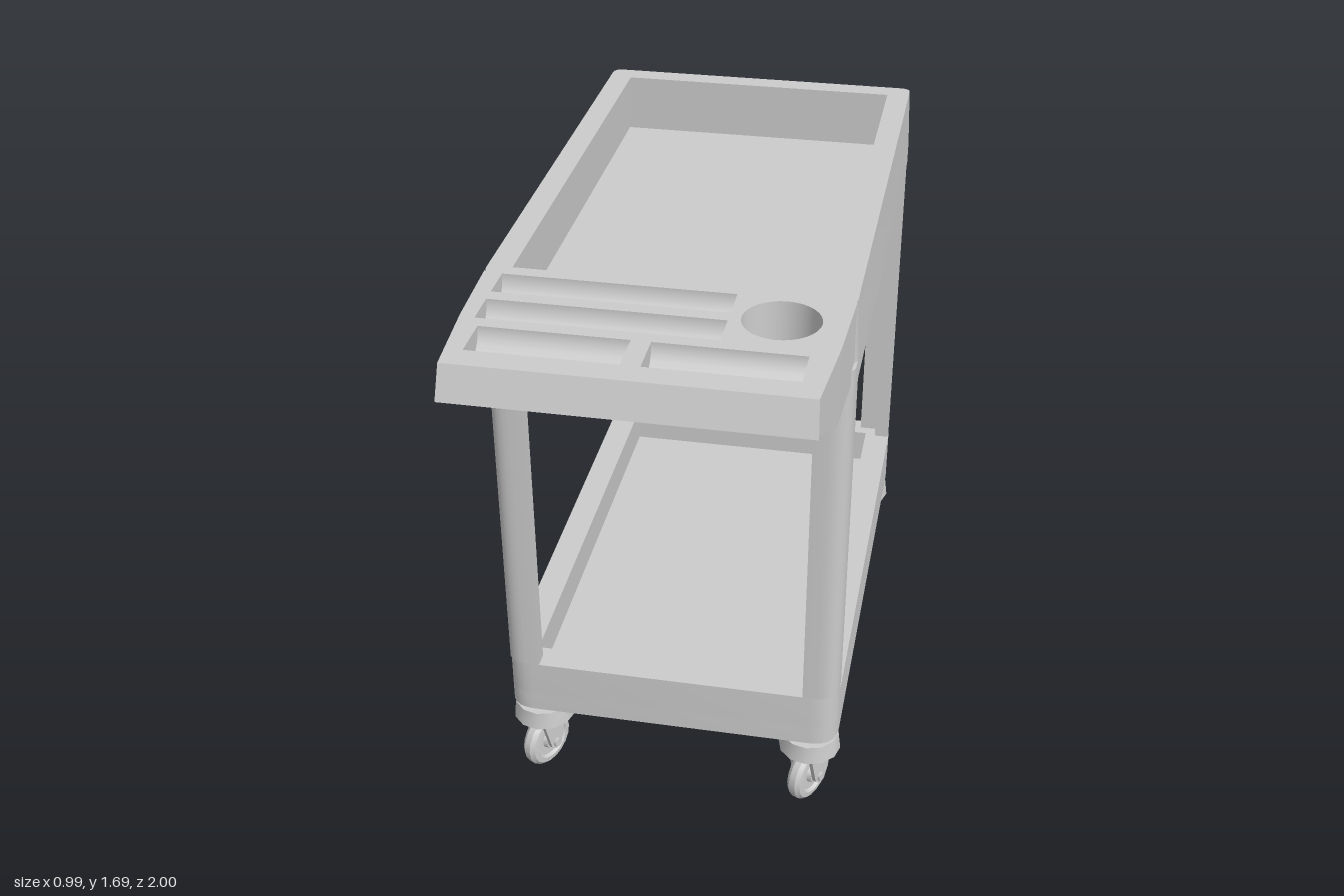
import * as THREE from 'three';
import { toCreasedNormals } from 'three/addons/utils/BufferGeometryUtils.js';

const mat = new THREE.MeshStandardMaterial({ color: 0xcccccc });
const thin = new THREE.MeshStandardMaterial({ color: 0xcccccc, side: THREE.DoubleSide });

function add(parent, name, geo, material = mat) {
  const m = new THREE.Mesh(geo, material);
  m.name = name;
  parent.add(m);
  return m;
}

// Rounded rectangle on the ground plane (shape y stands for -z)
function rect(x0, x1, z0, z1, r = 0, S = THREE.Shape) {
  const s = new S(), a = -z1, b = -z0;
  s.moveTo(x0 + r, a).lineTo(x1 - r, a);
  if (r) s.quadraticCurveTo(x1, a, x1, a + r);
  s.lineTo(x1, b - r);
  if (r) s.quadraticCurveTo(x1, b, x1 - r, b);
  s.lineTo(x0 + r, b);
  if (r) s.quadraticCurveTo(x0, b, x0, b - r);
  s.lineTo(x0, a + r);
  if (r) s.quadraticCurveTo(x0, a, x0 + r, a);
  return s;
}

// Extrude a ground-plane shape from y0 up to y1
function rise(shape, y0, y1) {
  const g = new THREE.ExtrudeGeometry(shape, { depth: y1 - y0, bevelEnabled: false, curveSegments: 6 });
  g.rotateX(-Math.PI / 2).translate(0, y0, 0);
  return toCreasedNormals(g, 0.6);
}

function makeCaster() {
  const g = new THREE.Group();
  g.name = 'caster';
  add(g, 'casterPlate', new THREE.CylinderGeometry(0.06, 0.06, 0.03, 16).translate(0, 0.26, 0));
  add(g, 'casterHousing', toCreasedNormals(new THREE.CylinderGeometry(0.085, 0.092, 0.055, 12), 0.6).translate(0, 0.223, 0));
  const swivel = new THREE.Group();
  swivel.name = 'swivel';
  swivel.rotation.y = -0.45;
  g.add(swivel);
  // Wheel with a raised tyre, recessed web and hub
  const profile = [[0.001, -0.028], [0.028, -0.028], [0.032, -0.014], [0.058, -0.014], [0.064, -0.024], [0.08, -0.022],
    [0.09, -0.01], [0.09, 0.01], [0.08, 0.022], [0.064, 0.024], [0.058, 0.014], [0.032, 0.014], [0.028, 0.028], [0.001, 0.028]]
    .map(([x, y]) => new THREE.Vector2(x, y));
  const wheel = toCreasedNormals(new THREE.LatheGeometry(profile, 18), 0.6);
  add(swivel, 'wheel', wheel.rotateZ(Math.PI / 2).translate(0, 0.09, 0));
  // Tapered fork arms
  const arm = new THREE.Shape();
  arm.moveTo(-0.055, 0.2).lineTo(-0.022, 0.08).quadraticCurveTo(0, 0.05, 0.022, 0.08).lineTo(0.055, 0.2);
  for (const s of [-1, 1]) {
    const geo = new THREE.ExtrudeGeometry(arm, { depth: 0.012, bevelEnabled: false, curveSegments: 5 });
    geo.translate(0, 0, -0.006).rotateY(Math.PI / 2).translate(s * 0.036, 0, 0);
    add(swivel, 'forkArm', toCreasedNormals(geo, 0.6));
  }
  add(swivel, 'axle', new THREE.CylinderGeometry(0.015, 0.015, 0.1, 8).rotateZ(Math.PI / 2).translate(0, 0.09, 0));
  add(swivel, 'forkCrown', new THREE.BoxGeometry(0.084, 0.02, 0.11).translate(0, 0.192, 0));
  return g;
}

function makeHandle() {
  const g = new THREE.Group();
  g.name = 'handle';
  const top = 1.69;
  // Deck with openings for four troughs and a cup
  const troughs = [[-0.43, 0.18, 0.50, 0.60], [-0.43, 0.18, 0.64, 0.74], [-0.41, -0.03, 0.78, 0.90], [0.02, 0.40, 0.78, 0.90]];
  const deck = new THREE.Shape();
  deck.moveTo(-0.48, -0.49).lineTo(0.48, -0.49).lineTo(0.47, -0.73).lineTo(0.45, -0.97).lineTo(-0.45, -0.97).lineTo(-0.47, -0.73);
  for (const t of troughs) deck.holes.push(rect(...t, 0, THREE.Path));
  const cup = new THREE.Path();
  cup.absarc(0.31, -0.615, 0.1, 0, Math.PI * 2);
  deck.holes.push(cup);
  add(g, 'handleDeck', new THREE.ShapeGeometry(deck, 16).rotateX(-Math.PI / 2).translate(0, top, 0), thin);

  // Half-round trough below each opening
  for (const [x0, x1, z0, z1] of troughs) {
    const geo = new THREE.CylinderGeometry(1, 1, x1 - x0, 12, 1, false, Math.PI, Math.PI);
    geo.rotateZ(Math.PI / 2).scale(1, 0.06, (z1 - z0) / 2);
    add(g, 'trough', geo.translate((x0 + x1) / 2, top, (z0 + z1) / 2), thin);
  }
  add(g, 'cupWall', new THREE.CylinderGeometry(0.1, 0.095, 0.16, 32, 1, true).translate(0.31, top - 0.08, 0.615), thin);
  add(g, 'cupFloor', new THREE.CircleGeometry(0.096, 32).rotateX(-Math.PI / 2).translate(0.31, top - 0.16, 0.615), thin);

  // Sides, underside and nose: stations of z, half width, bottom, top
  const stations = [[0.49, 0.48, 1.48, top], [0.73, 0.47, 1.48, top], [0.97, 0.45, 1.587, top], [1, 0.455, 1.6, 1.6]];
  const rings = stations.map(([z, w, b, t]) => [[-w, t, z], [-w, b, z], [w, b, z], [w, t, z]]);
  const pos = [];
  const quad = (a, b, c, d) => pos.push(...a, ...b, ...c, ...a, ...c, ...d);
  for (let i = 0; i < 3; i++)
    for (let j = 0; j < 3; j++) quad(rings[i][j], rings[i][j + 1], rings[i + 1][j + 1], rings[i + 1][j]);
  quad(rings[2][0], rings[3][0], rings[3][3], rings[2][3]);
  const shell = new THREE.BufferGeometry();
  shell.setAttribute('position', new THREE.Float32BufferAttribute(pos, 3));
  shell.computeVertexNormals();
  add(g, 'handleShell', shell, thin);
  return g;
}

export function createModel() {
  const cart = new THREE.Group();
  cart.name = 'utilityCart';

  // Lower tray
  const lowerRim = rect(-0.49, 0.49, -0.99, 0.54, 0.08);
  lowerRim.holes.push(rect(-0.41, 0.41, -0.91, 0.46, 0, THREE.Path));
  add(cart, 'lowerTrayFloor', rise(rect(-0.49, 0.49, -0.99, 0.54, 0.08), 0.27, 0.33));
  add(cart, 'lowerTrayRim', rise(lowerRim, 0.33, 0.44));

  // Upper tray, its rim leaning slightly inwards
  add(cart, 'upperTrayFloor', rise(rect(-0.488, 0.488, -0.985, 0.54, 0.03), 1.45, 1.52));
  const upperRim = rect(-0.488, 0.488, -0.985, 0.5, 0.03);
  upperRim.holes.push(rect(-0.42, 0.42, -0.92, 0.46, 0, THREE.Path));
  const rim = rise(upperRim, 1.52, 1.69), p = rim.attributes.position;
  for (let i = 0; i < p.count; i++)
    if (p.getY(i) > 1.6) p.setX(i, p.getX(i) * 0.985);
  add(cart, 'upperTrayRim', rim);
  cart.add(makeHandle());

  // Angle posts and casters at the four corners
  for (const sx of [-1, 1]) {
    for (const [sz, z] of [[1, 0.54], [-1, -0.99]]) {
      const post = new THREE.Shape();
      const pt = (dx, dz) => [sx * (0.488 - dx), -(z - sz * dz)];
      post.moveTo(...pt(0.1, 0)).lineTo(...pt(0.06, 0));
      post.quadraticCurveTo(...pt(0, 0), ...pt(0, 0.06));
      for (const c of [[0, 0.09], [0.045, 0.09], [0.045, 0.045], [0.1, 0.045]]) post.lineTo(...pt(...c));
      add(cart, 'post', rise(post, 0.44, 1.45));
      const caster = makeCaster();
      caster.position.set(sx * 0.405, 0, z - sz * 0.083);
      cart.add(caster);
    }
  }
  return cart;
}
